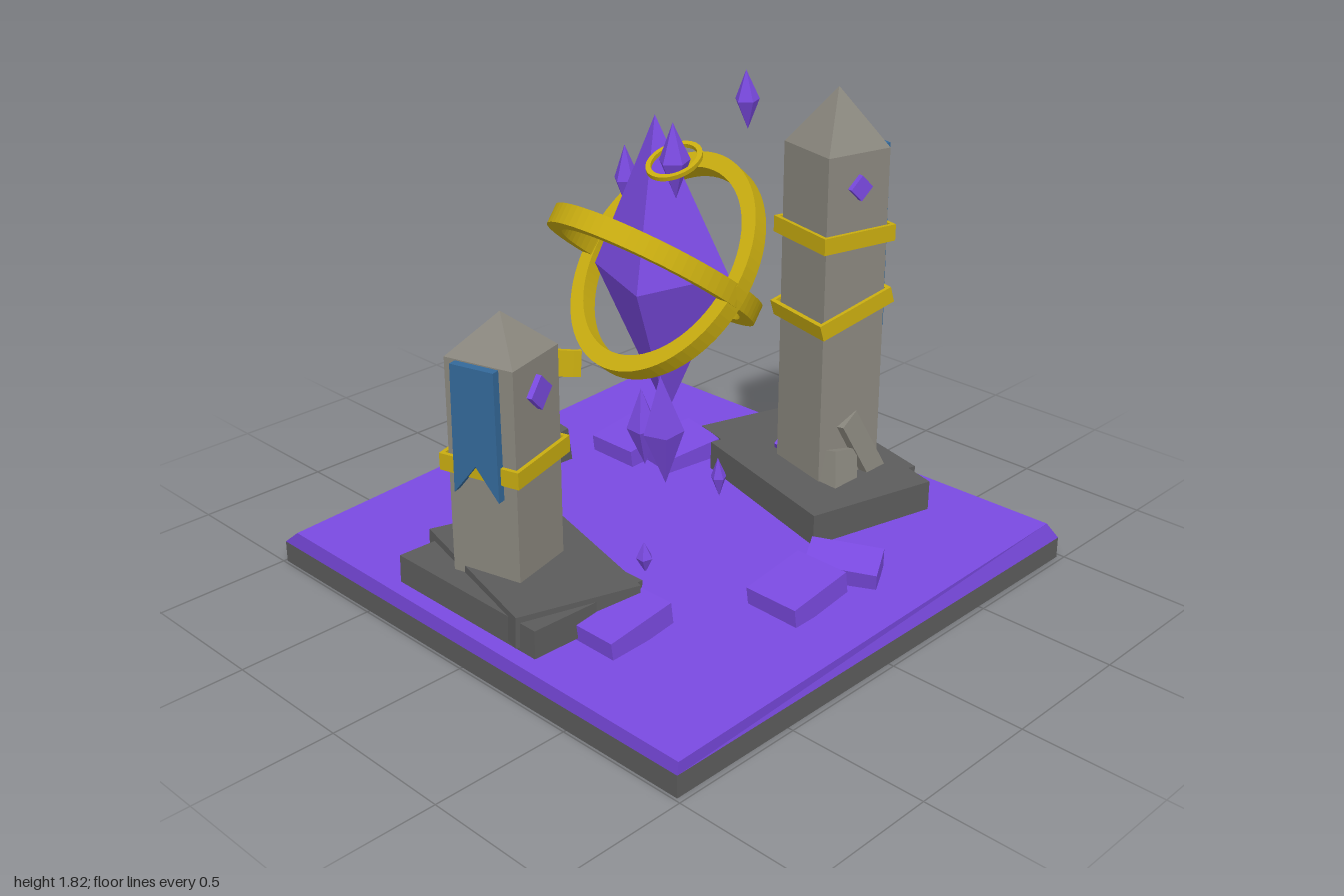
import * as THREE from 'three';

const mat = (color) => new THREE.MeshStandardMaterial({ color, flatShading: true, side: THREE.DoubleSide });

export function createModel() {
  const root = new THREE.Group();
  const purple = mat(0x7a4ae0), stone = mat(0x8a877e), dark = mat(0x5c5c5c);
  const gold = mat(0xc8ac10), blue = mat(0x34699a);

  function add(parent, name, geo, material, pos = [0, 0, 0], rot = [0, 0, 0]) {
    const m = new THREE.Mesh(geo, material);
    m.name = name;
    m.position.set(...pos);
    m.rotation.set(...rot);
    parent.add(m);
    return m;
  }
  const box = (name, material, size, pos, rot, parent = root) =>
    add(parent, name, new THREE.BoxGeometry(...size), material, pos, rot);

  // Flat band with a rectangular section; four segments make a square collar
  function band(inner, outer, height, segments, start = 0, length = Math.PI * 2) {
    const h = height / 2;
    const profile = [[inner, -h], [outer, -h], [outer, h], [inner, h], [inner, -h]];
    return new THREE.LatheGeometry(profile.map((p) => new THREE.Vector2(...p)), segments, start, length);
  }

  // Double-pointed crystal
  function crystal(r, h, sides, phase = 0) {
    const pts = [[0, -h], [r, 0], [0, h]].map((p) => new THREE.Vector2(...p));
    return new THREE.LatheGeometry(pts, sides, phase);
  }

  // Ground plate and sloping crystal slab with a bevelled side
  box('groundPlate', dark, [1.97, 0.08, 1.97], [-0.005, 0.04, -0.005]);
  const slab = new THREE.BoxGeometry(1.97, 0.1, 1.97);
  const p = slab.attributes.position;
  for (let i = 0; i < p.count; i++) {
    const right = p.getX(i) > 0, front = p.getZ(i) > 0;
    if (p.getY(i) < 0) p.setXYZ(i, right ? 0.98 : -0.99, 0.08, front ? 0.98 : -0.99);
    else if (right) p.setXYZ(i, front ? 0.92 : 0.83, front ? 0.155 : 0.19, front ? 0.965 : -0.97);
    else p.setXYZ(i, -0.99, front ? 0.13 : 0.145, front ? 0.985 : -0.91);
  }
  slab.computeVertexNormals();
  add(root, 'crystalGround', slab, purple);

  // Foundation stones under the pillars
  box('leftFoundation', dark, [0.45, 0.11, 0.67], [-0.66, 0.215, -0.02], [0, -0.26, -0.04]);
  box('leftFoundationLower', dark, [0.47, 0.1, 0.68], [-0.715, 0.2, -0.02], [0, 0, -0.03]);
  box('rightFoundation', dark, [0.51, 0.12, 0.67], [0.54, 0.215, 0.21], [0.01, -0.25, 0]);
  box('rightFoundationLower', dark, [0.51, 0.14, 0.68], [0.66, 0.172, 0.05], [0, -0.25, -0.03]);

  // Loose grey rocks
  box('backRock', dark, [0.27, 0.12, 0.28], [-0.19, 0.21, -0.67], [0.1, -0.86, 0.1]);
  box('backRock', dark, [0.3, 0.14, 0.29], [-0.08, 0.22, -0.77], [0.05, -0.1, 0.16]);
  box('leaningRock', stone, [0.09, 0.3, 0.09], [0.6, 0.36, 0.335], [-0.15, 0, 0.48]);
  box('leaningRock', stone, [0.12, 0.15, 0.08], [0.49, 0.31, 0.345], [-0.2, 0, -0.2]);
  box('leaningRock', stone, [0.12, 0.2, 0.07], [0.64, 0.36, 0.06], [0.1, -0.24, 0.1]);

  // Tilted crystal plates on the ground
  [
    [[0.27, 0.08, 0.28], [-0.635, 0.18, 0.34], [0, 0, 0.13]],
    [[0.26, 0.08, 0.21], [-0.1, 0.19, 0.665], [0, 0, 0.14]],
    [[0.14, 0.08, 0.25], [0.135, 0.19, 0.67], [0.05, 0.5, 0.2]],
    [[0.25, 0.08, 0.21], [0.295, 0.21, -0.5], [0, 0, 0.12]],
    [[0.25, 0.08, 0.2], [0.37, 0.2, -0.34], [0.05, -0.15, 0.1]],
    [[0.09, 0.1, 0.08], [0.65, 0.29, 0.04], [0.4, 0.5, 0.3]],
    [[0.08, 0.08, 0.07], [0.56, 0.28, 0.05], [0.2, 0.2, 0.5]],
  ].forEach((a) => box('crystalPlate', purple, ...a));

  // Pillar with pyramid cap, gems, collars and a swallow-tailed banner on its outer side
  function pillar(name, o) {
    const g = new THREE.Group();
    g.name = name;
    g.position.set(o.x, 0, o.z);
    g.rotation.y = o.turn;
    root.add(g);
    const w = 0.26, h = w / 2, r = h * Math.SQRT2;
    box('shaft', stone, [w, o.top - 0.2, w], [0, (o.top + 0.2) / 2, 0], [0, 0, 0], g);
    add(g, 'cap', new THREE.ConeGeometry(r, o.apex - o.top, 4, 1, false, Math.PI / 4), stone,
      [0, (o.apex + o.top) / 2, 0]);
    for (const s of [-1, 1])
      box('gem', purple, [o.gem, o.gem, 0.03], [0, o.gemY, s * (h + 0.005)], [0, 0, Math.PI / 4], g);
    for (const [y, tilt] of o.collars) {
      const collar = band(r * 1.06, r * 1.17, 0.06, 4, Math.PI / 4);
      add(g, 'collar', collar, gold, [0, y, 0], [0, 0, tilt]).scale.x = 1 / Math.cos(tilt);
    }
    const b = 0.082, len = o.bannerLength;
    const shape = new THREE.Shape([[-b, 0], [b, 0], [b + 0.004, -len], [0, -len + 0.11], [-b - 0.004, -len]]
      .map((q) => new THREE.Vector2(...q)));
    add(g, 'banner', new THREE.ExtrudeGeometry(shape, { depth: 0.03, bevelEnabled: false }), blue,
      [o.side * (h + 0.008), o.top, 0], [0, o.side * Math.PI / 2, 0]);
  }
  pillar('shortPillar', {
    x: -0.715, z: -0.07, turn: 0.27, top: 1.02, apex: 1.155, gem: 0.085, gemY: 0.905,
    collars: [[0.66, 0.02]], bannerLength: 0.45, side: -1,
  });
  pillar('tallPillar', {
    x: 0.575, z: 0.22, turn: -0.24, top: 1.485, apex: 1.69, gem: 0.065, gemY: 1.365,
    collars: [[1.18, 0], [0.905, 0.28]], bannerLength: 0.68, side: 1,
  });

  // Broken piece of a gold ring beside the short pillar
  add(root, 'ringFragment', band(0.17, 0.185, 0.09, 16, Math.PI * 1.5 - 1.05, 2.1), gold,
    [-0.4, 0.935, -0.1], [0, 0, -0.08]);

  // Large floating crystal and its two crossing oval rings
  add(root, 'largeCrystal', crystal(0.24, 0.545, 4, 0.44), purple, [-0.05, 1.13, -0.015], [0, 0, 0.05]);
  for (const [x, y, angle, r] of [[-0.06, 1.14, -0.64, 0.43], [-0.01, 1.135, 0.86, 0.415]])
    add(root, 'largeRing', band(r - 0.06, r, 0.07, 72), gold, [x, y, -0.03], [0, 0, angle])
      .scale.z = 0.35 / r;

  // Small floating crystals: x, y, z, radius, half height, then ring radius and tilts
  [
    [-0.4, 1.675, 0.39, 0.05, 0.12, 0.095, 0.1, 0.36],
    [0.13, 1.725, 0.2, 0.042, 0.1],
    [-0.27, 0.68, 0.21, 0.072, 0.2],
    [-0.41, 0.545, -0.3, 0.055, 0.12, 0.095, 0.3, -0.2],
    [0.305, 0.66, -0.38, 0.055, 0.12, 0.1, 0, 0],
    [0.04, 0.45, -0.2, 0.06, 0.155],
    [-0.03, 0.43, 0.24, 0.028, 0.075],
    [-0.32, 0.205, 0.17, 0.03, 0.06],
    [-0.04, 1.41, -0.19, 0.045, 0.12],
  ].forEach(([x, y, z, r, h, ring, rx, rz]) => {
    add(root, 'smallCrystal', crystal(r, h, 5, x * 7), purple, [x, y, z], [0, 0, 0.06]);
    if (ring) {
      const m = add(root, 'smallRing', band(ring - 0.017, ring, 0.014, 40), gold, [x, y, z], [rx, 0, rz]);
      m.scale.z = 0.82;
    }
  });

  return root;
}
